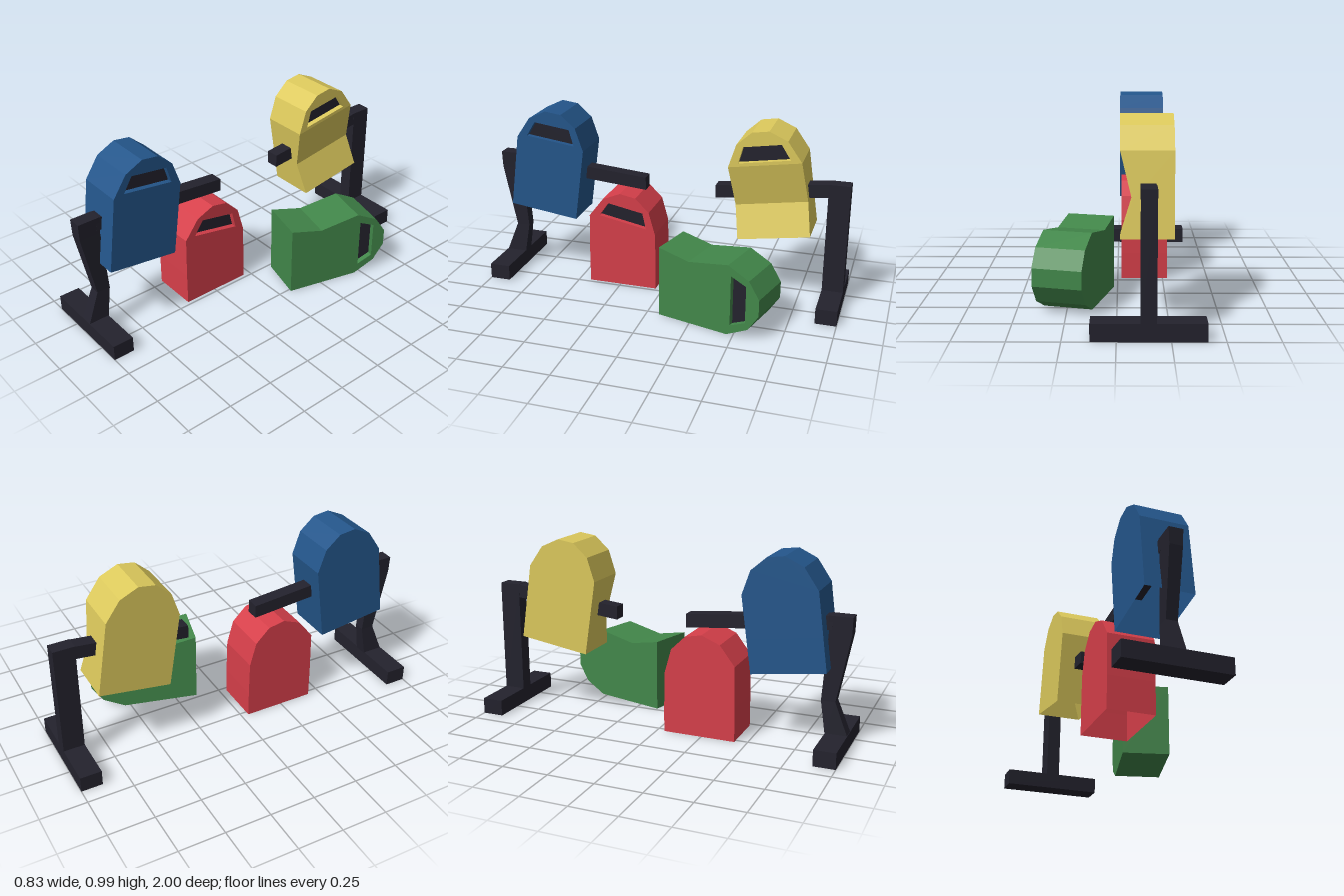
import * as THREE from 'three';

const mat = (name, color) => {
  const m = new THREE.MeshStandardMaterial({ color, side: THREE.DoubleSide });
  m.name = name;
  return m;
};

// Arched outline of one capsule: [depth, height]
const W = 0.127, MID = 0.18, SHOULDER = 0.41;
const ARCH = [[0.197, SHOULDER], [0.137, 0.53], [0.046, 0.59], [-0.046, 0.59], [-0.137, 0.53], [-0.197, SHOULDER]];
const PATH = [[0.197, 0], [0.197, MID], ...ARCH, [-0.197, MID], [-0.197, 0]];
const SLOT = [[0.14, 0.428], [0.102, 0.515], [-0.102, 0.515], [-0.14, 0.428]];
const RECESS = 0.03;

// Flat-shaded geometry from quads, each corner bent by the warp rule
function quads(list, warp) {
  const pos = [];
  for (const [a, b, c, d] of list)
    for (const p of [a, b, c, a, c, d]) pos.push(...warp(...p));
  const g = new THREE.BufferGeometry();
  g.setAttribute('position', new THREE.Float32BufferAttribute(pos, 3));
  g.computeVertexNormals();
  return g;
}

// Flat outline standing in the side plane at x
function plate(outline, hole, x, warp) {
  const toVec = (p) => new THREE.Vector2(...p);
  const shape = new THREE.Shape(outline.map(toVec));
  if (hole) shape.holes.push(new THREE.Path(hole.map(toVec)));
  const g = new THREE.ShapeGeometry(shape).rotateY(Math.sign(x) * Math.PI / 2).translate(x, 0, 0).toNonIndexed();
  const p = g.attributes.position;
  for (let i = 0; i < p.count; i++) p.setXYZ(i, ...warp(p.getX(i), p.getY(i), p.getZ(i)));
  g.computeVertexNormals();
  return g;
}

// Open-bottomed arched capsule with a recessed slot in its +x side
function capsule(name, material, dark, warp, closed = false) {
  const group = new THREE.Group();
  group.name = name;
  const add = (part, geo, m = material) => {
    const mesh = new THREE.Mesh(geo, m);
    mesh.name = part;
    group.add(mesh);
  };
  const walls = [];
  for (let i = 0; i < PATH.length - 1; i++) {
    const [z0, y0] = PATH[i], [z1, y1] = PATH[i + 1];
    walls.push([[-W, y0, z0], [W, y0, z0], [W, y1, z1], [-W, y1, z1]]);
  }
  add('shell', quads(walls, warp));

  const sides = [];
  for (const [lo, hi] of [[0, MID], [MID, SHOULDER]]) {
    sides.push([[W, lo, 0.197], [W, lo, -0.197], [W, hi, -0.197], [W, hi, 0.197]]);
    sides.push([[-W, lo, -0.197], [-W, lo, 0.197], [-W, hi, 0.197], [-W, hi, -0.197]]);
  }
  if (closed) sides.push([[-W, 0, -0.197], [W, 0, -0.197], [W, 0, 0.197], [-W, 0, 0.197]]);
  add('sidePanels', quads(sides, warp));
  add('slotGable', plate(ARCH, SLOT, W, warp));
  add('plainGable', plate(ARCH, null, -W, warp));

  const frame = SLOT.map(([z0, y0], i) => {
    const [z1, y1] = SLOT[(i + 1) % SLOT.length];
    return [[W, y0, z0], [W - RECESS, y0, z0], [W - RECESS, y1, z1], [W, y1, z1]];
  });
  add('slotFrame', quads(frame, warp));
  add('slotWindow', plate(SLOT, null, W - RECESS, warp), dark);
  return group;
}

// Rectangular bar through sections [centre, half width, half depth]; axis is 'y' or 'z'
function bar(name, sections, axis, material) {
  const rings = sections.map(([c, hw, hd]) => [[-1, -1], [1, -1], [1, 1], [-1, 1]].map(([s, t]) =>
    axis === 'y' ? [c[0] + s * hw, c[1], c[2] - t * hd] : [c[0] + s * hw, c[1] + t * hd, c[2]]));
  const list = [[...rings[0]].reverse(), rings[rings.length - 1]];
  for (let r = 0; r < rings.length - 1; r++)
    for (let i = 0; i < 4; i++) {
      const j = (i + 1) % 4;
      list.push([rings[r][i], rings[r][j], rings[r + 1][j], rings[r + 1][i]]);
    }
  const mesh = new THREE.Mesh(quads(list, (...p) => p), material);
  mesh.name = name;
  return mesh;
}

export function createModel() {
  const model = new THREE.Group();
  model.name = 'capsuleStands';
  const dark = mat('dark metal', 0x23222d);
  const blue = mat('blue', 0x24568b);
  const red = mat('red', 0xd63f4a);
  const yellow = mat('yellow', 0xdcc95c);
  const green = mat('green', 0x42874a);

  const place = (obj, pos, tilt, turn = 0) => {
    obj.position.set(...pos);
    obj.rotation.set(tilt, turn, 0, 'YXZ');
    model.add(obj);
  };

  // Hanging capsule, intact
  place(capsule('blueCapsule', blue, dark, (x, y, z) => [x, y, z]), [-0.138, 0.402, 0.705], -0.134);

  // Hanging capsule, slot side creased inward
  const crease = (x, y, z) => [x > 0 && y === MID ? x - 0.056 : x, y, z];
  place(capsule('yellowCapsule', yellow, dark, crease), [-0.143, 0.4, -0.62], 0.155);

  // Standing capsule, sagging towards the back
  const sag = (x, y, z) => {
    const up = y - SHOULDER;
    return up < -0.001
      ? [x, y / SHOULDER * (0.368 + 0.19 * z), z]
      : [x, 0.368 + up * 0.98 + z * 0.19, z * 0.98 - up * 0.19];
  };
  place(capsule('redCapsule', red, dark, sag), [-0.148, 0, 0.237], 0);

  // Fallen capsule, dented on its upper face
  const dent = (x, y, z) => [x, y, y === MID && z > 0 ? z - 0.038 : z];
  place(capsule('greenCapsule', green, dark, dent, true), [0.1425, 0.197, -0.1], -Math.PI / 2, -0.255);

  // Stands: foot, post and arm
  const X = -0.147;
  for (const [side, label] of [[1, 'front'], [-1, 'back']]) {
    const foot = new THREE.Mesh(new THREE.BoxGeometry(0.536, 0.086, 0.115), dark);
    foot.name = label + 'Foot';
    foot.position.set(X, 0.043, side * 0.9425);
    model.add(foot);
  }
  model.add(bar('frontPost', [
    [[X, 0.08, 0.942], 0.037, 0.058],
    [[X, 0.255, 0.893], 0.029, 0.037],
    [[X, 0.61, 0.94], 0.034, 0.058],
    [[X, 0.7, 0.94], 0.037, 0.06],
  ], 'y', dark));
  model.add(bar('backPost', [
    [[X, 0.08, -0.9425], 0.037, 0.0575],
    [[X, 0.7, -0.9425], 0.037, 0.0575],
  ], 'y', dark));
  model.add(bar('frontArm', [
    [[X, 0.595, 0.125], 0.036, 0.036],
    [[X, 0.664, 0.9], 0.036, 0.036],
  ], 'z', dark));
  model.add(bar('backArm', [
    [[X, 0.664, -0.9], 0.036, 0.036],
    [[X, 0.595, -0.275], 0.036, 0.036],
  ], 'z', dark));
  return model;
}
